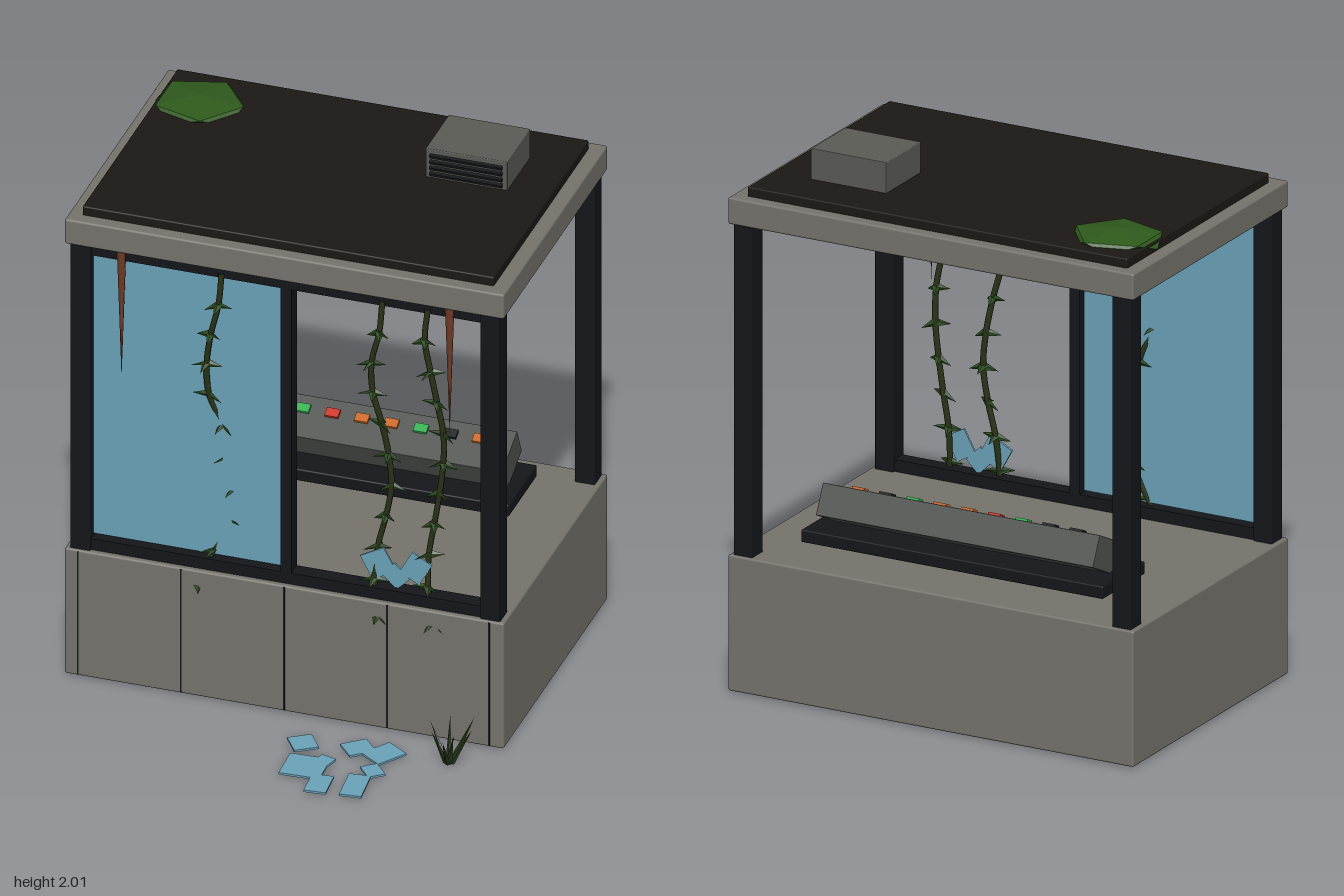
import * as THREE from 'three';
import { RoundedBoxGeometry } from 'three/addons/geometries/RoundedBoxGeometry.js';

const mat = (color, flatShading = false) =>
  new THREE.MeshStandardMaterial({ color, flatShading });
const M = {
  concrete: mat(0x75736c), frame: mat(0x14161a), lid: mat(0x1c1815), glass: mat(0x6aa2b8),
  vent: mat(0x5a5b55), metal: mat(0x50534f), rust: mat(0x6e3c28), stem: mat(0x2a3318),
  leaf: mat(0x2b4a1e, true), moss: mat(0x2f5a1c, true), grass: mat(0x26361a, true),
  dark: mat(0x15171a), green: mat(0x2fae4e), red: mat(0xc8301e), amber: mat(0xc8641e),
};
M.glass.side = THREE.DoubleSide;
const UP = new THREE.Vector3(0, 1, 0);

export function createModel() {
  const root = new THREE.Group();

  function add(parent, name, geometry, material, x = 0, y = 0, z = 0) {
    const mesh = new THREE.Mesh(geometry, material);
    mesh.name = name;
    mesh.position.set(x, y, z);
    parent.add(mesh);
    return mesh;
  }
  // Box given by its minimum and maximum corners
  function span(parent, name, material, [x0, y0, z0], [x1, y1, z1], bevel = 0) {
    const s = [x1 - x0, y1 - y0, z1 - z0];
    const g = bevel ? new RoundedBoxGeometry(...s, 2, bevel) : new THREE.BoxGeometry(...s);
    return add(parent, name, g, material, (x0 + x1) / 2, (y0 + y1) / 2, (z0 + z1) / 2);
  }
  function group(name) {
    const g = new THREE.Group();
    g.name = name;
    root.add(g);
    return g;
  }
  // Slender cone growing from a point along a direction
  function spike(parent, name, material, from, dir, length, radius, sides, flat = 1) {
    const g = new THREE.ConeGeometry(radius, length, sides);
    g.translate(0, length / 2, 0).scale(1, 1, flat);
    const mesh = add(parent, name, g, material, from.x, from.y, from.z);
    mesh.quaternion.setFromUnitVectors(UP, dir.normalize());
    return mesh;
  }

  // Plinth with panel seams
  span(root, 'plinth', M.concrete, [-0.82, 0, -0.82], [0.82, 0.51, 0.3], 0.008);
  for (const x of [-0.77, -0.385, 0, 0.385, 0.765])
    span(root, 'panelSeam', M.dark, [x - 0.003, 0.005, 0.29], [x + 0.003, 0.505, 0.302]);

  // Corner posts
  const frame = group('frame');
  for (const s of [-1, 1])
    for (const z of [0.25, -0.77])
      add(frame, 'cornerPost', new RoundedBoxGeometry(0.075, 1.25, 0.078, 1, 0.004), M.frame, s * 0.765, 1.13, z);

  // Front window frame and the remaining pane
  span(frame, 'topRail', M.frame, [-0.73, 1.71, 0.22], [0.73, 1.75, 0.28]);
  span(frame, 'bottomRail', M.frame, [-0.73, 0.51, 0.22], [0.73, 0.555, 0.28]);
  span(frame, 'mullion', M.frame, [-0.02, 0.55, 0.22], [0.02, 1.72, 0.28]);
  span(root, 'glassPane', M.glass, [-0.73, 0.565, 0.244], [-0.025, 1.705, 0.256]);

  // Roof
  span(root, 'roofSlab', M.concrete, [-0.82, 1.75, -0.82], [0.82, 1.85, 0.3], 0.008);
  span(root, 'roofCover', M.lid, [-0.77, 1.845, -0.775], [0.765, 1.885, 0.25], 0.005);

  // Roof vent with louvres
  const vent = group('roofVent');
  span(vent, 'ventBox', M.vent, [0.305, 1.88, -0.595], [0.61, 2, -0.345], 0.003);
  for (let i = 0; i < 4; i++) {
    const slat = add(vent, 'louvre', new THREE.BoxGeometry(0.27, 0.012, 0.014), M.dark, 0.457, 1.902 + i * 0.024, -0.342);
    slat.rotation.x = 0.3;
  }

  // Moss clump, pole upward and flattened
  const moss = new THREE.IcosahedronGeometry(0.184, 0);
  moss.rotateX(-Math.atan((1 + Math.sqrt(5)) / 2)).rotateY(Math.PI / 2).scale(1, 0.2, 0.93);
  add(root, 'mossClump', moss, M.moss, -0.62, 1.879, -0.58);

  // Rust drips hanging from the roof edge
  for (const x of [-0.615, 0.61])
    spike(root, 'rustDrip', M.rust, new THREE.Vector3(x, 1.75, 0.276), new THREE.Vector3(0, -1, 0), 0.52, 0.018, 6, 0.6);

  // Control console
  const bench = group('console');
  span(bench, 'consoleBase', M.frame, [-0.61, 0.545, -0.665], [0.61, 0.592, -0.36], 0.005);
  const desk = new THREE.Group();
  desk.name = 'controlDesk';
  desk.position.set(0, 0.664, -0.542);
  desk.rotation.x = 0.45;
  bench.add(desk);
  add(desk, 'deskBody', new RoundedBoxGeometry(1.12, 0.118, 0.18, 1, 0.003), M.metal);
  ['dark', 'dark', 'green', 'red', 'amber', 'amber', 'green', 'dark', 'amber'].forEach((c, i) =>
    add(desk, 'button', new THREE.BoxGeometry(0.05, 0.014, 0.035), M[c], (i - 4) * 0.11, 0.062, -0.03));

  // Hanging vines: x at each node, evenly spaced in height
  const top = 1.73, step = 0.128;
  const depth = [0.28, 0.285, 0.28, 0.268, 0.258, 0.243, 0.24, 0.238, 0.24, 0.25, 0.282];
  const vines = [
    [-0.24, -0.25, -0.28, -0.3, -0.295, -0.25, -0.23, -0.21, -0.225, -0.28, -0.33],
    [0.36, 0.35, 0.32, 0.32, 0.35, 0.37, 0.38, 0.36, 0.33, 0.32, 0.34],
    [0.53, 0.52, 0.54, 0.56, 0.58, 0.575, 0.56, 0.54, 0.52, 0.52, 0.545],
  ];
  vines.forEach((xs, v) => {
    const vine = group('vine');
    const pts = xs.map((x, i) => new THREE.Vector3(x, top - i * step, depth[i]));
    add(vine, 'vineStem', new THREE.TubeGeometry(new THREE.CatmullRomCurve3(pts), 40, 0.011, 6), M.stem);
    pts.slice(1).forEach((p, i) => {
      for (const s of [-1, 1]) {
        const swing = Math.sin(i * 2.1 + v * 1.3) * 0.5;
        spike(vine, 'leaf', M.leaf, p, new THREE.Vector3(s, -0.25 + 0.3 * Math.sin(i + s), s * swing + 0.25), 0.058, 0.017, 4, 0.5);
      }
      const side = i > 1 && i < 8 && i % 2 ? -1 : 1;
      spike(vine, 'leaf', M.leaf, p, new THREE.Vector3(0.4 * Math.sin(i * 3 + v), -0.3, side), 0.056, 0.017, 4, 0.5);
    });
  });

  // Broken glass lying on the ground: x, z, width, depth, turn
  const shards = group('groundShards');
  for (const [x, z, w, d, turn] of [
    [0.14, 0.5, 0.09, 0.095, 0.6], [0.2, 0.655, 0.15, 0.145, 0.04], [0.25, 0.605, 0.06, 0.08, -0.25],
    [0.287, 0.755, 0.08, 0.12, 0.08], [0.412, 0.725, 0.08, 0.15, 0.1], [0.437, 0.607, 0.065, 0.08, 0.7],
    [0.335, 0.47, 0.09, 0.1, -0.85], [0.435, 0.48, 0.1, 0.125, -0.6],
  ]) add(shards, 'shard', new THREE.BoxGeometry(w, 0.008, d), M.glass, x, 0.006, z).rotation.y = turn;

  // Broken glass left standing in the frame: x, y, width, height, turn
  const stuck = group('frameShards');
  for (const [x, y, w, h, turn] of [
    [0.335, 0.64, 0.1, 0.1, 0.5], [0.4, 0.6, 0.07, 0.08, 0.8], [0.475, 0.645, 0.085, 0.1, -0.5],
  ]) add(stuck, 'shard', new THREE.BoxGeometry(w, h, 0.008), M.glass, x, y, 0.25).rotation.z = turn;

  // Grass tuft: tip offsets x, z and height
  const tuft = group('grassTuft');
  for (const [dx, dz, h] of [
    [-0.08, -0.04, 0.13], [0.08, -0.05, 0.17], [0.09, 0.005, 0.15], [0.01, 0.09, 0.13],
    [-0.05, 0.04, 0.14], [-0.01, -0.05, 0.16], [0.03, 0.03, 0.13],
  ]) {
    const from = new THREE.Vector3(0.665 + dx * 0.12, 0, 0.45 + dz * 0.12);
    const dir = new THREE.Vector3(dx * 0.88, h, dz * 0.88);
    spike(tuft, 'grassBlade', M.grass, from, dir, dir.length(), 0.012, 4, 0.6);
  }

  return root;
}
